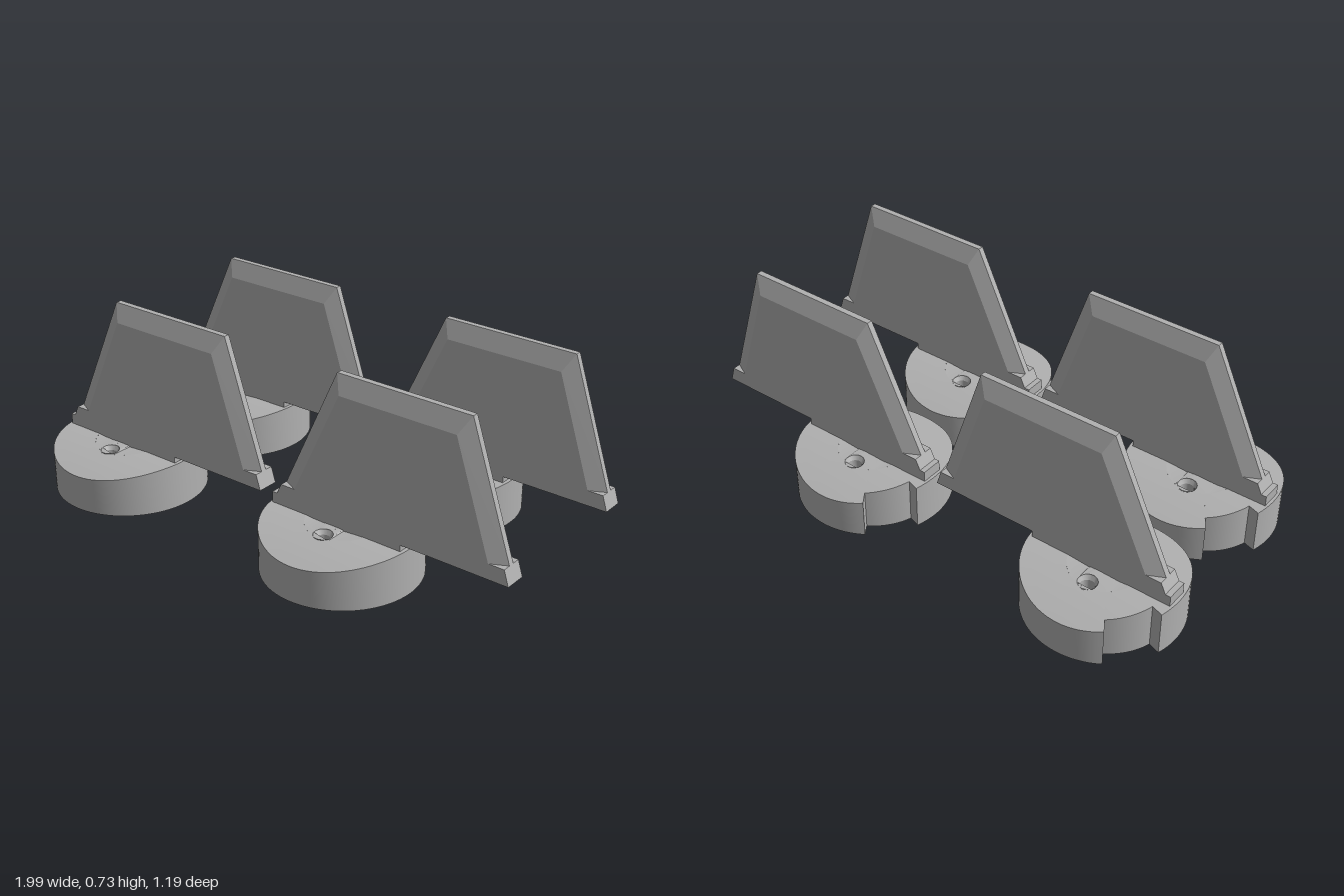
import * as THREE from 'three';
import { toCreasedNormals } from 'three/addons/utils/BufferGeometryUtils.js';
import { ConvexGeometry } from 'three/addons/geometries/ConvexGeometry.js';

const R = 0.2875, NOTCH_R = 0.242, BORE = 0.13, CEILING = 0.11, TOP = 0.175;
const HALF = 0.041, EDGE = 0.011; // fin half thickness, at the body and at the thin rim
const rad = THREE.MathUtils.degToRad;

// Height of the gently crowned puck top
const crownY = (z) => TOP - 1.05 + Math.sqrt(1.05 * 1.05 - z * z);

// Bends every top vertex onto the crown
function crown(geometry) {
  const p = geometry.attributes.position;
  for (let i = 0; i < p.count; i++) {
    if (p.getY(i) > 0.12) p.setY(i, crownY(p.getZ(i)));
  }
  geometry.computeVertexNormals();
  return toCreasedNormals(geometry, 0.5);
}

// Ring sector: bore wall, underside, outer wall and top
function ringSector(outer, start, length, segments) {
  const pts = [[BORE, CEILING], [BORE, 0], [outer, 0], [outer, TOP]];
  for (let i = 1; i <= 4; i++) pts.push([outer + (BORE - outer) * i / 4, TOP]);
  const profile = pts.map(([x, y]) => new THREE.Vector2(x, y));
  return crown(new THREE.LatheGeometry(profile, segments, start, length));
}

export function createModel() {
  const grey = new THREE.MeshStandardMaterial({ color: 0xb0b0b0 });
  grey.name = 'grey';
  grey.side = THREE.DoubleSide;

  const parts = [];
  const add = (name, geometry) => parts.push([name, geometry]);

  // Round base with a notch in its rim
  const n0 = rad(-146.6), n1 = rad(-107.5);
  add('base', ringSector(R, n1, 2 * Math.PI - (n1 - n0), 80));
  add('notchFloor', ringSector(NOTCH_R, n0, n1 - n0, 10));
  for (const a of [n0, n1]) {
    const wall = new THREE.PlaneGeometry(R - NOTCH_R, TOP);
    wall.translate((R + NOTCH_R) / 2, TOP / 2, 0).rotateY(a - Math.PI / 2);
    add('notchWall', crown(wall));
  }

  // Plate over the bore, with two screw holes
  const disc = new THREE.Shape().absarc(0, 0, BORE, 0, Math.PI * 2);
  for (const s of [-1, 1]) {
    disc.holes.push(new THREE.Path().absarc(0, s * 0.105, 0.035, 0, Math.PI * 2, true));
  }
  const plate = new THREE.ExtrudeGeometry(disc, { depth: TOP - CEILING, bevelEnabled: false, curveSegments: 32 });
  plate.rotateX(-Math.PI / 2).translate(0, CEILING, 0);
  add('screwPlate', crown(plate));

  // Countersunk sleeves inside the screw holes
  const t = crownY(0.105);
  const sleeve = [[0.035, t], [0.026, t - 0.015], [0.026, CEILING], [0.035, CEILING]]
    .map(([x, y]) => new THREE.Vector2(x, y));
  for (const s of [-1, 1]) {
    const g = toCreasedNormals(new THREE.LatheGeometry(sleeve, 32), 0.5);
    add('screwHole', g.translate(0, 0, s * 0.105));
  }

  // Fin blade, bevelled along its two slanted edges and its top
  const rim = [[-0.949, 0.255], [-0.728, 0.725], [-0.2, 0.725], [-0.043, 0.255]];
  const face = [[-0.889, 0.255], [-0.698, 0.66], [-0.238, 0.66], [-0.103, 0.255]];
  const corners = [];
  for (const s of [-1, 1]) {
    for (const [x, y] of rim) corners.push(new THREE.Vector3(x + 0.7125, y, s * EDGE));
    for (const [x, y] of face) corners.push(new THREE.Vector3(x + 0.7125, y, s * HALF));
  }
  add('finBlade', new ConvexGeometry(corners));

  // Full-thickness foot of the fin, sunk into the base
  const foot = new THREE.Shape([
    [-0.988, 0.16], [-0.44, 0.16], [-0.44, 0.198], [-0.025, 0.198], [-0.043, 0.255],
    [-0.949, 0.255], [-0.968, 0.215], [-0.988, 0.215],
  ].map(([x, y]) => new THREE.Vector2(x + 0.7125, y)));
  const footGeometry = new THREE.ExtrudeGeometry(foot, { depth: 2 * HALF, bevelEnabled: false });
  add('finFoot', footGeometry.translate(0, 0, -HALF));

  // Four equal finned pucks in a two by two grid
  const model = new THREE.Group();
  model.name = 'finSet';
  for (const x of [-0.7125, 0.3075]) {
    for (const z of [-0.3095, 0.3095]) {
      const unit = new THREE.Group();
      unit.name = 'finUnit';
      unit.position.set(x, 0, z);
      for (const [name, geometry] of parts) {
        const mesh = new THREE.Mesh(geometry, grey);
        mesh.name = name;
        unit.add(mesh);
      }
      model.add(unit);
    }
  }
  return model;
}
